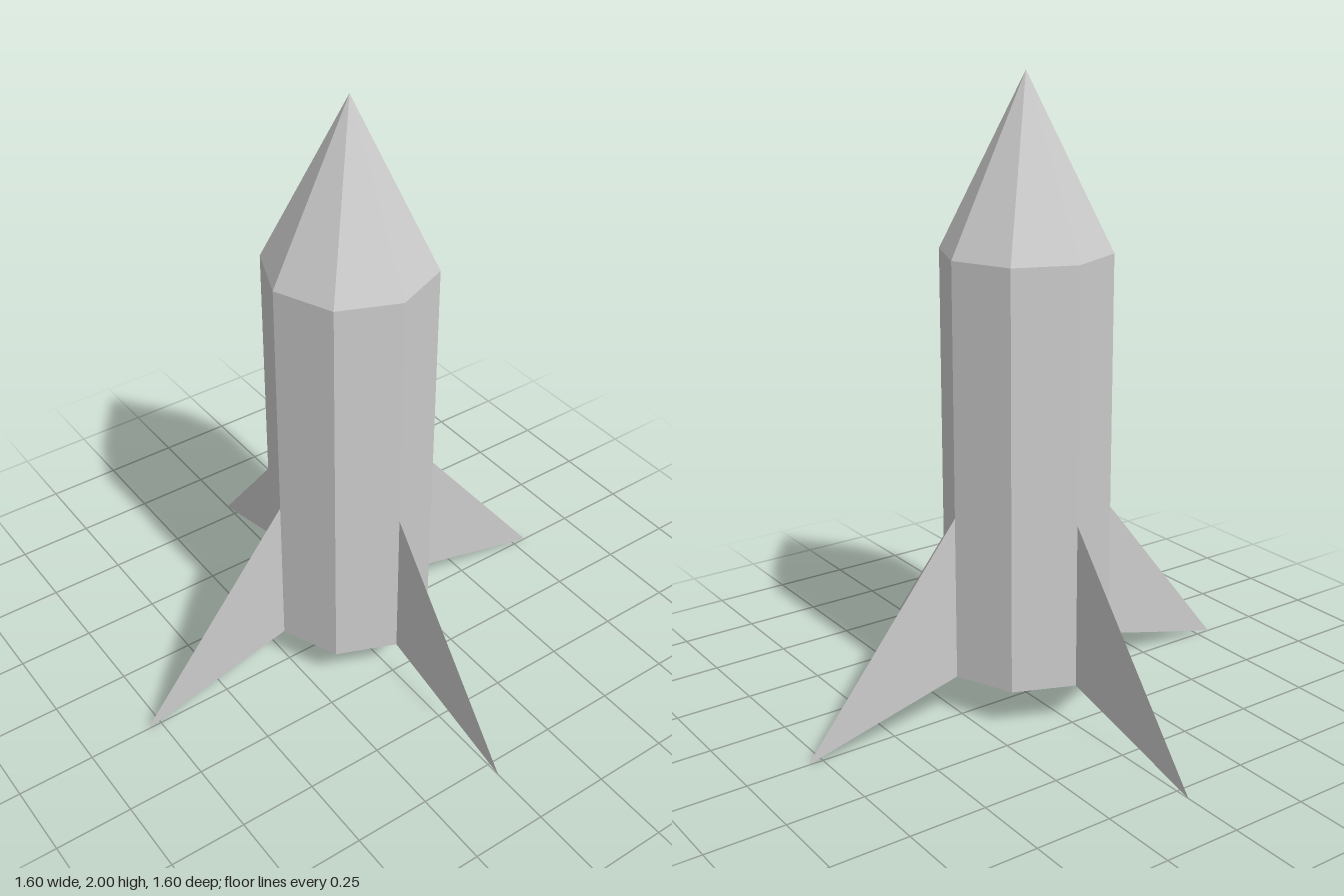
import * as THREE from 'three';

export function createModel() {
  const rocket = new THREE.Group();
  rocket.name = 'rocket';

  const material = new THREE.MeshStandardMaterial({
    color: 0xcccccc,
    flatShading: true,
    side: THREE.DoubleSide,
  });

  const sides = 8;
  const radius = 0.267;
  const bodyBottom = 0.135;
  const bodyTop = 1.467;
  const noseTop = 2;

  function addPart(name, geometry, y = 0) {
    const mesh = new THREE.Mesh(geometry, material);
    mesh.name = name;
    mesh.position.y = y;
    rocket.add(mesh);
    return mesh;
  }

  // Eight-sided hollow body, open at the bottom
  const bodyHeight = bodyTop - bodyBottom;
  addPart('body',
    new THREE.CylinderGeometry(radius, radius, bodyHeight, sides, 1, true),
    bodyBottom + bodyHeight / 2);

  // Pointed nose
  const noseHeight = noseTop - bodyTop;
  addPart('noseCone',
    new THREE.ConeGeometry(radius, noseHeight, sides, 1, true),
    bodyTop + noseHeight / 2);

  // Four thin swept fins, one on every second corner of the body
  const finShape = new THREE.Shape([
    new THREE.Vector2(radius, bodyBottom),
    new THREE.Vector2(0.8, 0),
    new THREE.Vector2(radius, 0.667),
  ]);
  const finGeometry = new THREE.ShapeGeometry(finShape);
  ['leftFin', 'backFin', 'rightFin', 'frontFin'].forEach((name, i) => {
    addPart(name, finGeometry).rotation.y = i * Math.PI / 2;
  });

  return rocket;
}
